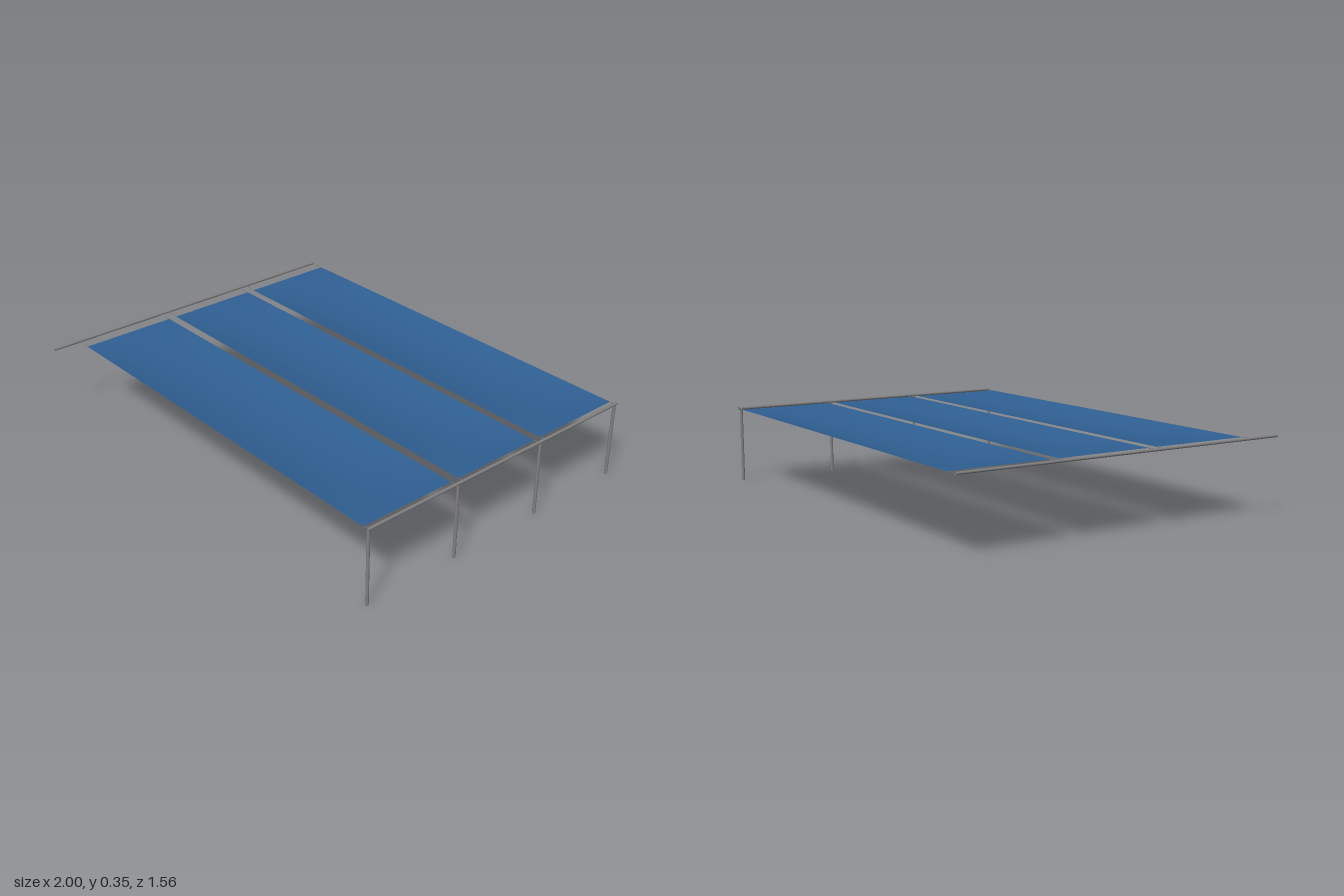
import * as THREE from 'three';

const steel = new THREE.MeshStandardMaterial({ color: 0x808080, side: THREE.DoubleSide });
steel.name = 'steel grey';
const cloth = new THREE.MeshStandardMaterial({ color: 0x2f5f92, side: THREE.DoubleSide });
cloth.name = 'canvas blue';

const RAIL_Y = 0.348;
const EDGE_Y = 0.345;

// Open round bar between two points
function bar(name, a, b, radius, sides = 12) {
  const start = new THREE.Vector3(...a), end = new THREE.Vector3(...b);
  const dir = end.clone().sub(start);
  const geo = new THREE.CylinderGeometry(radius, radius, dir.length(), sides, 1, true);
  const mesh = new THREE.Mesh(geo, steel);
  mesh.name = name;
  mesh.position.copy(start).add(end).multiplyScalar(0.5);
  mesh.quaternion.setFromUnitVectors(new THREE.Vector3(0, 1, 0), dir.normalize());
  return mesh;
}

// Rectangular cloth, fixed on all four edges and sagging in the middle
function sail(x0, x1, z0, z1, sag) {
  const geo = new THREE.PlaneGeometry(2, 2, 32, 16).rotateX(-Math.PI / 2);
  const p = geo.attributes.position;
  for (let i = 0; i < p.count; i++) {
    const u = p.getX(i), v = p.getZ(i);
    p.setXYZ(i,
      (x0 + x1) / 2 + u * (x1 - x0) / 2,
      EDGE_Y - sag * (1 - u ** 4) * (1 - v * v),
      (z0 + z1) / 2 + v * (z1 - z0) / 2);
  }
  geo.computeVertexNormals();
  const mesh = new THREE.Mesh(geo, cloth);
  mesh.name = 'shadeSail';
  return mesh;
}

export function createModel() {
  const model = new THREE.Group();
  model.name = 'shadeCanopy';

  // Side rails
  model.add(bar('rightRail', [-0.994, RAIL_Y, -0.775], [-0.994, RAIL_Y, 0.778], 0.006));
  model.add(bar('leftRail', [0.993, RAIL_Y, -0.779], [0.993, RAIL_Y, 0.647], 0.007));

  // Posts under the left rail
  for (const z of [-0.766, -0.295, 0.177, 0.64]) {
    model.add(bar('post', [0.99, 0, z], [0.99, RAIL_Y, z], 0.007));
  }

  // Sails with their corner cables
  for (const [z0, z1] of [[-0.77, -0.322], [-0.285, 0.15], [0.19, 0.643]]) {
    model.add(sail(-0.928, 0.964, z0, z1, 0.027));
    for (const z of [z0 + 0.002, z1 - 0.002]) {
      model.add(bar('cable', [-0.994, RAIL_Y, z], [-0.928, EDGE_Y, z], 0.0012, 6));
      model.add(bar('cable', [0.964, EDGE_Y, z], [0.993, RAIL_Y, z], 0.0012, 6));
    }
  }
  return model;
}
